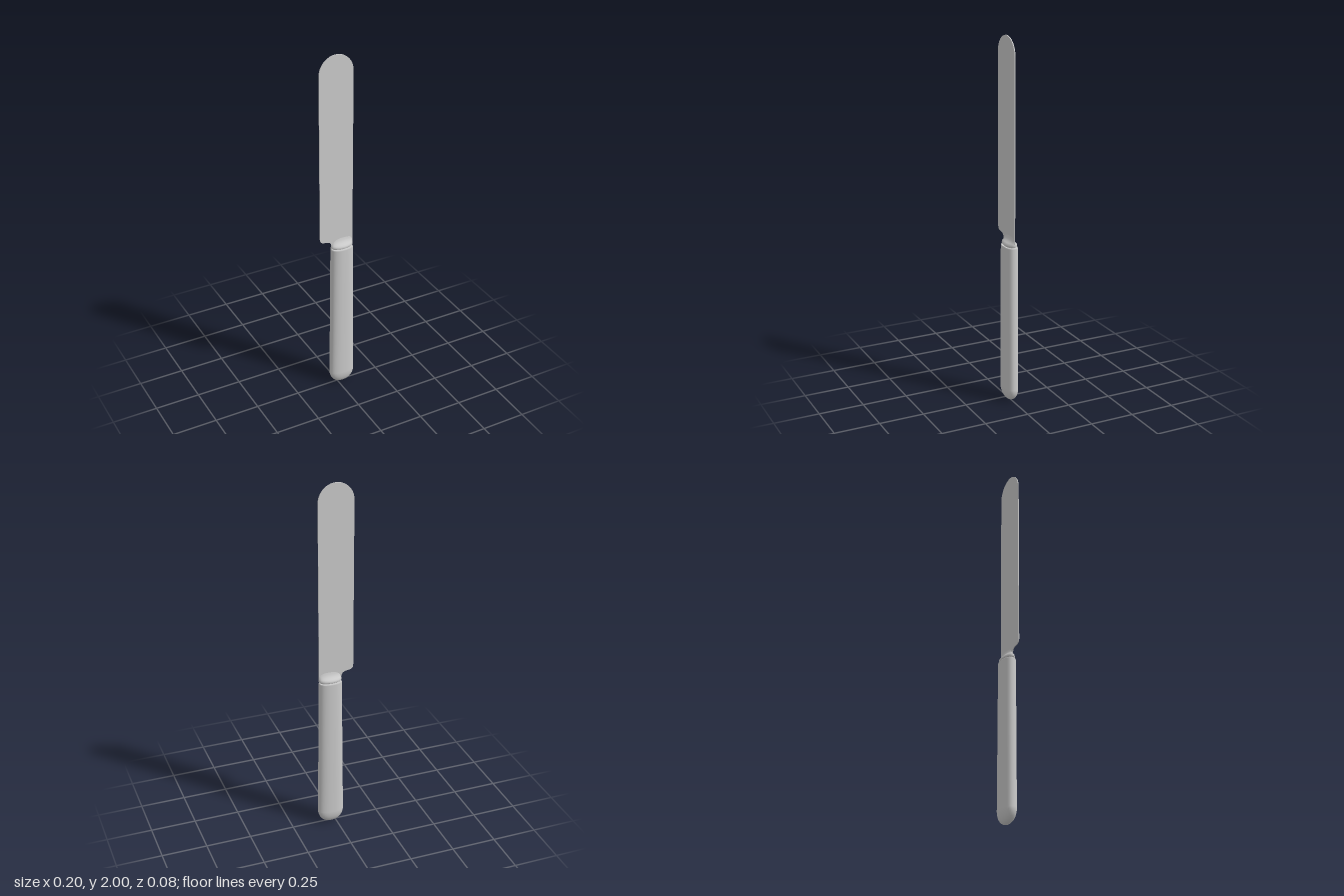
import * as THREE from 'three';
import { mergeVertices } from 'three/addons/utils/BufferGeometryUtils.js';

const material = new THREE.MeshStandardMaterial({ color: 0xcccccc });

// Skin a stack of flattened oval rings, each [y, xMin, xMax, halfDepth], and cap both ends
function loft(rings, power = 2, sides = 32) {
  const pos = [], index = [];
  const bend = (v) => Math.sign(v) * Math.pow(Math.abs(v), 2 / power);
  for (const [y, x0, x1, d] of rings) {
    for (let i = 0; i < sides; i++) {
      const a = (i / sides) * Math.PI * 2;
      pos.push((x0 + x1) / 2 + bend(Math.cos(a)) * (x1 - x0) / 2, y, bend(Math.sin(a)) * d);
    }
  }
  for (let r = 0; r < rings.length - 1; r++) {
    for (let i = 0; i < sides; i++) {
      const a = r * sides + i, b = r * sides + (i + 1) % sides;
      index.push(a, a + sides, b, b, a + sides, b + sides);
    }
  }
  // Caps have their own vertices so their rims stay sharp
  [rings[0], rings[rings.length - 1]].forEach(([y, x0, x1], end) => {
    const from = end ? (rings.length - 1) * sides : 0;
    const centre = pos.length / 3;
    pos.push((x0 + x1) / 2, y, 0);
    for (let i = 0; i < sides; i++) pos.push(...pos.slice((from + i) * 3, (from + i) * 3 + 3));
    for (let i = 0; i < sides; i++) {
      const a = centre + 1 + i, b = centre + 1 + (i + 1) % sides;
      index.push(centre, ...(end ? [b, a] : [a, b]));
    }
  });
  const geo = new THREE.BufferGeometry();
  geo.setAttribute('position', new THREE.Float32BufferAttribute(pos, 3));
  geo.setIndex(index);
  geo.computeVertexNormals();
  return mergeVertices(geo);
}

function add(group, name, geometry) {
  const mesh = new THREE.Mesh(geometry, material);
  mesh.name = name;
  group.add(mesh);
}

export function createModel() {
  const group = new THREE.Group();
  group.name = 'tableKnife';

  // Handle: rounded butt, then a gentle taper up to the collar
  const handle = [];
  const butt = 0.075;
  for (let i = 0; i <= 10; i++) {
    const t = (i / 10) * Math.PI / 2;
    const w = Math.max(0.004, Math.pow(Math.sin(t), 0.9));
    handle.push([0.003 + butt * (1 - Math.cos(t)), 0.027 - 0.073 * w, 0.027 + 0.073 * w, 0.038 * w]);
  }
  handle.push([0.3, -0.043, 0.097, 0.038], [0.6, -0.04, 0.094, 0.038], [0.885, -0.037, 0.091, 0.037],
    [0.89, -0.034, 0.088, 0.034]);
  add(group, 'handle', loft(handle, 2.3));

  // Narrow neck between handle and bolster
  add(group, 'neck', loft([[0.885, -0.028, 0.082, 0.026], [0.9, -0.028, 0.082, 0.026]]));

  // Bolster: thin oval collar sweeping in to the blade
  add(group, 'bolster', loft([
    [0.895, -0.034, 0.088, 0.03], [0.899, -0.037, 0.091, 0.033], [0.908, -0.036, 0.091, 0.031],
    [0.914, -0.033, 0.09, 0.023], [0.921, -0.03, 0.09, 0.015], [0.929, -0.027, 0.09, 0.009],
    [0.938, -0.022, 0.089, 0.005], [0.95, -0.014, 0.087, 0.002],
  ]));

  // Blade: straight back, rounded tip and a stepped heel
  const outline = new THREE.Shape();
  outline.moveTo(0.091, 0.905);
  outline.lineTo(0.091, 1.9);
  outline.bezierCurveTo(0.091, 1.955, 0.047, 2, -0.006, 2);
  outline.bezierCurveTo(-0.059, 2, -0.103, 1.955, -0.103, 1.9);
  outline.lineTo(-0.103, 0.97);
  outline.quadraticCurveTo(-0.103, 0.947, -0.08, 0.944);
  outline.bezierCurveTo(-0.05, 0.941, -0.035, 0.935, -0.034, 0.905);
  const thickness = 0.005;
  const blade = new THREE.ExtrudeGeometry(outline, { depth: thickness, bevelEnabled: false, curveSegments: 16 });
  blade.translate(0, 0, -thickness / 2);
  add(group, 'blade', blade);

  return group;
}
